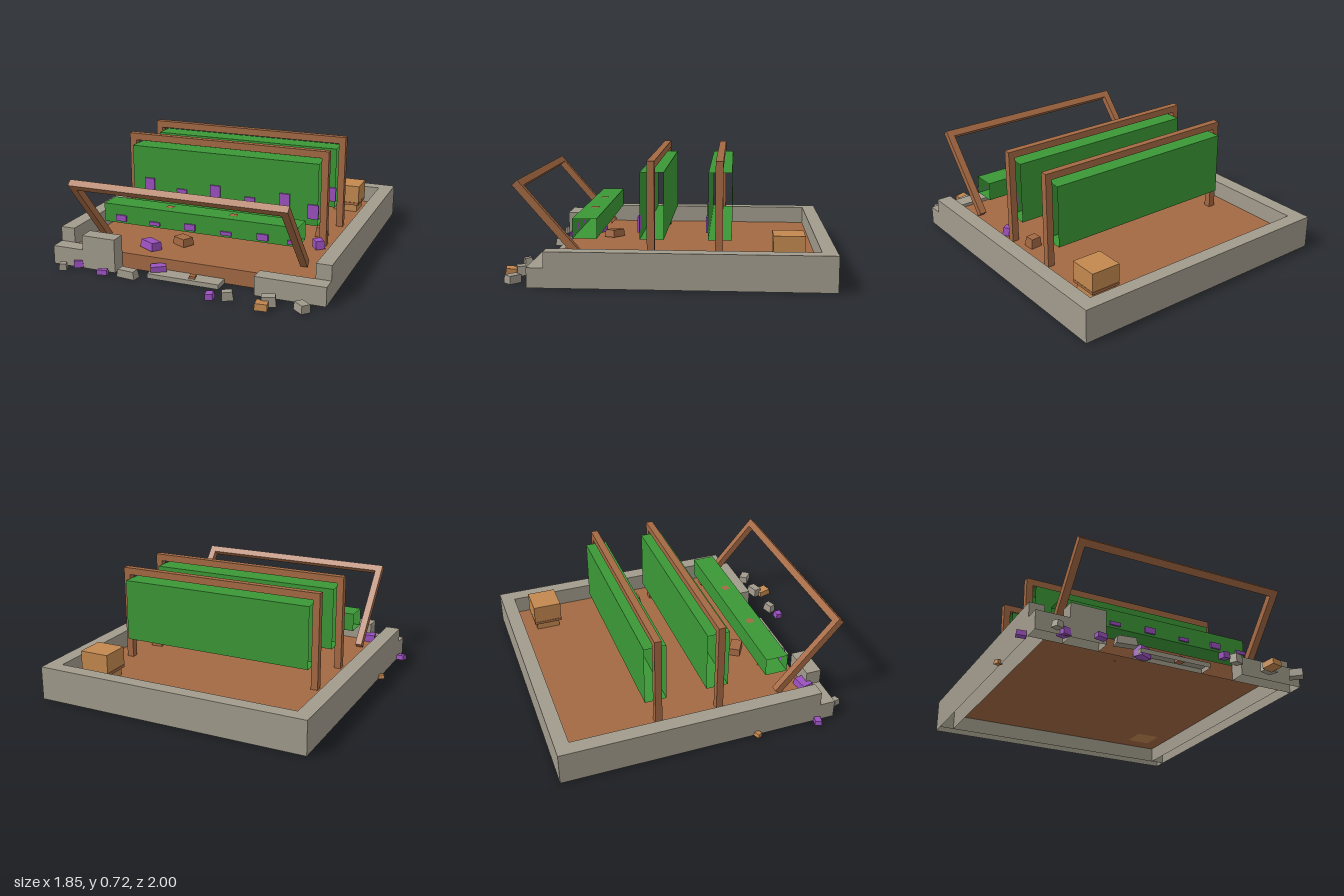
import * as THREE from 'three';

export function createModel() {
  const root = new THREE.Group();
  const mat = (name, color) => {
    const m = new THREE.MeshStandardMaterial({ color, side: THREE.DoubleSide });
    m.name = name;
    return m;
  };
  const stone = mat('stone', 0xa19b8c);
  const wood = mat('wood', 0xa46943);
  const green = mat('green board', 0x3b9836);
  const purple = mat('purple', 0x9b51c0);
  const crateWood = mat('crate wood', 0xc3884f);

  const add = (name, geo, m, x, y, z, parent = root) => {
    const mesh = new THREE.Mesh(geo, m);
    mesh.position.set(x, y, z);
    mesh.name = name;
    parent.add(mesh);
    return mesh;
  };
  // Box given by its min and max corners
  const box = (name, m, [x0, x1], [y0, y1], [z0, z1], parent = root) =>
    add(name, new THREE.BoxGeometry(x1 - x0, y1 - y0, z1 - z0), m,
      (x0 + x1) / 2, (y0 + y1) / 2, (z0 + z1) / 2, parent);
  // Remove some of a box's faces, in the order +x -x +y -y +z -z
  const openFaces = (mesh, faces) => {
    const index = Array.from(mesh.geometry.index.array);
    mesh.geometry.setIndex(index.filter((v, i) => !faces.includes(Math.floor(i / 6))));
    mesh.geometry.clearGroups();
  };

  // Floor shell, with only a top and a front face
  openFaces(box('floor', wood, [-0.77, 0.825], [0, 0.1], [-0.91, 0.689]), [0, 1, 3, 5]);

  // Broken walls, open underneath
  const H = 0.215, low = 0.12;
  const wall = (name, x, h, z) => openFaces(box(name, stone, x, [0, h], z), [3]);
  wall('backWall', [-0.865, 0.92], H, [-1, -0.91]);
  wall('rightWall', [-0.865, -0.77], H, [-0.91, 0.69]);
  wall('leftWall', [0.825, 0.92], H, [-0.91, 0.69]);
  wall('frontWallCorner', [-0.865, -0.655], low, [0.69, 0.79]);
  wall('frontWallTall', [-0.655, -0.43], H, [0.69, 0.79]);
  wall('frontWallLow', [0.485, 0.92], low, [0.69, 0.79]);
  wall('brokenSill', [-0.21, 0.26], 0.03, [0.69, 0.79]);

  // Frame of two posts and a top bar, base at its own origin
  const frame = (name, y, z, tilt = 0) => {
    const g = new THREE.Group();
    g.name = name;
    const d = [-0.0225, 0.0225];
    box('post', wood, [-0.662, -0.617], [0, 0.575], d, g);
    box('post', wood, [0.675, 0.72], [0, 0.575], d, g);
    box('topBar', wood, [-0.662, 0.72], [0.575, 0.62], d, g);
    g.position.set(0, y, z);
    g.rotation.x = tilt;
    root.add(g);
  };
  frame('middleFrame', 0.1, 0.086);
  frame('rearFrame', 0.1, -0.318);
  frame('fallenFrame', 0.119, 0.487, 0.716);

  // Boards are sleeves, open at both ends
  const board = (name, y, z) => openFaces(box(name, green, [-0.617, 0.674], y, z), [0, 1]);
  // Row of tags along the front of a board, alternately tall and short
  const tags = (y, tall, short, z) => {
    [-0.495, -0.26, -0.02, 0.22, 0.455, 0.645].forEach((x, i) =>
      box('tag', purple, [x - 0.035, x + 0.035], [y, i % 2 ? short : tall], [z, z + 0.012]));
  };
  board('middleBoard', [0.245, 0.648], [0.012, 0.155]);
  tags(0.29, 0.435, 0.383, 0.155);
  board('rearBoard', [0.245, 0.648], [-0.392, -0.252]);
  tags(0.29, 0.435, 0.383, -0.252);
  board('frontBoard', [0.245, 0.365], [0.415, 0.562]);
  tags(0.26, 0.3, 0.283, 0.562);
  for (const x of [-0.188, 0.239]) {
    const patch = add('boardPatch', new THREE.PlaneGeometry(0.046, 0.046), wood, x, 0.368, 0.487);
    patch.rotation.x = -Math.PI / 2;
  }

  // Crate standing on a slab and a narrower base
  box('crate', crateWood, [0.55, 0.743], [0.17, 0.29], [-0.822, -0.635]);
  box('crateSlab', wood, [0.55, 0.743], [0.15, 0.168], [-0.822, -0.635]);
  box('crateBase', crateWood, [0.565, 0.728], [0.1, 0.15], [-0.807, -0.65]);

  // Rubble: tapered, slightly tipped boxes
  let seed = 7;
  const rand = () => (seed = (seed * 16807) % 2147483647) / 2147483647;
  const chunk = (name, m, x, y, z, w, h, d, turn) => {
    const geo = new THREE.BoxGeometry(w, h * 0.9, d);
    const p = geo.attributes.position;
    const taper = 0.82 + rand() * 0.15;
    for (let i = 0; i < p.count; i++) {
      if (p.getY(i) > 0) {
        p.setX(i, p.getX(i) * taper);
        p.setZ(i, p.getZ(i) * taper);
      }
    }
    geo.computeVertexNormals();
    const mesh = add(name, geo, m, x, y + h / 2, z);
    mesh.rotation.set((rand() - 0.5) * 0.2, turn, (rand() - 0.5) * 0.2);
  };
  const scatter = (name, m, list) => list.forEach((c) => chunk(name, m, ...c));
  scatter('stoneRubble', stone, [
    [-0.76, 0, 0.855, 0.05, 0.045, 0.05, 0.4],
    [-0.325, 0, 0.82, 0.13, 0.055, 0.06, -0.12],
    [0.365, 0, 0.905, 0.07, 0.06, 0.05, 0.4],
    [0.61, 0, 0.89, 0.09, 0.065, 0.06, 0.3],
    [0.81, 0, 0.895, 0.085, 0.055, 0.06, -0.7],
  ]);
  scatter('purpleRubble', purple, [
    [-0.895, 0, 0.665, 0.06, 0.035, 0.045, -0.3],
    [-0.69, 0, 0.78, 0.06, 0.05, 0.06, 0.4],
    [-0.49, 0, 0.84, 0.065, 0.035, 0.04, 0.2],
    [-0.165, 0, 0.72, 0.1, 0.07, 0.06, 0.5],
    [0.265, 0, 0.93, 0.05, 0.042, 0.05, 0.1],
    [-0.64, 0.1, 0.68, 0.11, 0.052, 0.08, 0.2],
    [-0.295, 0.1, 0.555, 0.13, 0.055, 0.08, -0.5],
    [0.685, 0.1, 0.155, 0.06, 0.06, 0.08, 0.6],
  ]);
  scatter('woodRubble', wood, [
    [-0.135, 0.1, 0.415, 0.12, 0.055, 0.08, -0.55],
    [0.645, 0.1, -0.06, 0.08, 0.07, 0.07, 0.1],
    [0.075, 0.012, 0.745, 0.04, 0.035, 0.05, 0.2],
  ]);
  scatter('crateRubble', crateWood, [
    [0.59, 0, 0.95, 0.075, 0.045, 0.085, 0.2],
    [-0.878, 0, 0.26, 0.04, 0.03, 0.035, 0.5],
  ]);
  return root;
}
